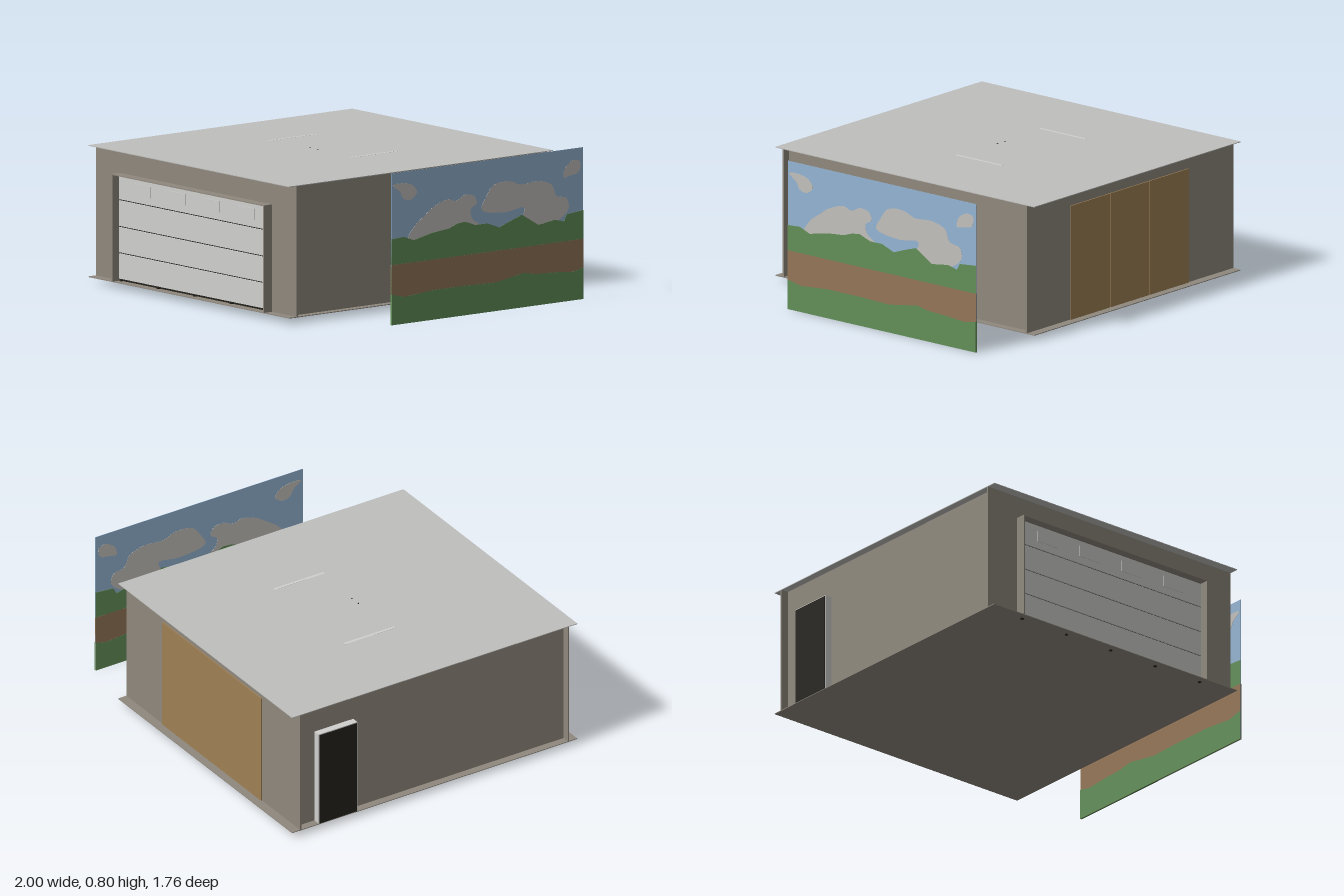
import * as THREE from 'three';

const mat = (name, color) => {
  const m = new THREE.MeshStandardMaterial({ color });
  m.name = name;
  return m;
};

export function createModel() {
  const root = new THREE.Group();
  root.name = 'garage';
  const wall = mat('wall brown', 0x8f887d);
  const roofGrey = mat('roof grey', 0xbfbfbd);
  const light = mat('door light grey', 0xd0d0ce);
  const dark = mat('dark trim', 0x24221c);
  const wood = mat('wood', 0xa08055);
  const sky = mat('sky blue', 0x94b4d3);
  const cloud = mat('cloud grey', 0xc2c0bc);
  const green = mat('grass green', 0x628f58);
  const path = mat('earth brown', 0x937556);

  // Box given by its low and high limits on each axis
  const box = (name, m, [x0, x1], [y0, y1], [z0, z1], parent = root) => {
    const mesh = new THREE.Mesh(new THREE.BoxGeometry(x1 - x0, y1 - y0, z1 - z0), m);
    mesh.position.set((x0 + x1) / 2, (y0 + y1) / 2, (z0 + z1) / 2);
    mesh.name = name;
    parent.add(mesh);
    return mesh;
  };
  const group = (name) => {
    const g = new THREE.Group();
    g.name = name;
    root.add(g);
    return g;
  };

  // Slabs and walls: end walls run the full width, side walls are set in
  box('floor', wall, [-1, 0.64], [0.03, 0.034], [-0.88, 0.88]);
  box('roof', roofGrey, [-1, 0.64], [0.718, 0.722], [-0.88, 0.88]);
  box('frontWall', wall, [-1, 0.64], [0.034, 0.718], [0.822, 0.83]);
  box('backWall', wall, [-1, 0.64], [0.034, 0.718], [-0.83, -0.822]);
  box('rightWall', wall, [-0.958, -0.95], [0.034, 0.718], [-0.822, 0.822]);
  box('leftWall', wall, [0.59, 0.598], [0.034, 0.718], [-0.822, 0.822]);

  // Faint strips and fixings on the roof
  for (const x of [-0.515, 0.15]) box('roofStrip', light, [x - 0.008, x + 0.008], [0.721, 0.7225], [-0.24, 0.07]);
  for (const x of [-0.21, -0.15]) box('roofFixing', dark, [x - 0.004, x + 0.004], [0.721, 0.7235], [0.042, 0.048]);

  // Sectional garage door inside a projecting frame
  const door = group('garageDoor');
  const dx = [-0.797, 0.432];
  box('frameSide', wall, [-0.804, -0.797], [0.034, 0.597], [0.83, 0.885], door);
  box('frameSide', wall, [0.432, 0.439], [0.034, 0.597], [0.83, 0.885], door);
  box('frameTop', wall, [-0.804, 0.439], [0.592, 0.597], [0.83, 0.885], door);
  box('seams', dark, dx, [0.034, 0.59], [0.83, 0.833], door);
  const levels = [0.042, 0.18, 0.318, 0.458, 0.592];
  for (let i = 0; i < 4; i++) {
    box('doorPanel', light, dx, [levels[i] + 0.003, levels[i + 1] - 0.003], [0.83, 0.84], door);
  }
  for (let i = 0; i < 4; i++) {
    const x = -0.605 + i * 0.282;
    box('doorWindow', light, [x - 0.068, x + 0.068], [0.5, 0.56], [0.84, 0.844], door);
  }
  for (let i = 0; i < 5; i++) {
    const x = -0.78 + i * 0.3;
    box('doorFoot', dark, [x - 0.008, x + 0.008], [0.024, 0.042], [0.834, 0.846], door);
  }

  // Three wooden panels on the back wall
  const back = group('backPanels');
  for (let i = 0; i < 3; i++) {
    const x = -0.64 + i * 0.312;
    box('woodPanel', wood, [x + 0.001, x + 0.311], [0.034, 0.645], [-0.836, -0.83], back);
  }

  // Side door: light frame box with a dark leaf
  const side = group('sideDoor');
  box('sideDoorFrame', light, [-0.997, -0.957], [0.034, 0.565], [-0.715, -0.475], side);
  box('sideDoorLeaf', dark, [-1, -0.997], [0.034, 0.56], [-0.71, -0.48], side);

  // Window with a projecting frame and middle bar
  const win = group('sideWindow');
  const wx = [0.598, 0.628];
  box('pane', cloud, [0.598, 0.606], [0.33, 0.58], [-0.32, 0.04], win);
  for (const z of [-0.33, -0.148, 0.032]) box('windowPost', light, wx, [0.32, 0.59], [z, z + 0.018], win);
  for (const y of [0.32, 0.572]) box('windowRail', light, wx, [y, y + 0.018], [-0.33, 0.05], win);

  // Landscape board: flat layers, each a little thicker so it shows on both faces
  const board = group('landscapeBoard');
  board.position.x = 0.995;
  board.rotation.y = Math.PI / 2;
  const layer = (name, m, pts, depth, smooth = false) => {
    const v = pts.map(([x, y]) => new THREE.Vector2(x, y));
    const outline = smooth
      ? new THREE.CatmullRomCurve3(v.map((p) => new THREE.Vector3(p.x, p.y, 0)), true)
          .getPoints(60).slice(0, -1).map((p) => new THREE.Vector2(p.x, p.y))
      : v;
    const geo = new THREE.ExtrudeGeometry(new THREE.Shape(outline), { depth, bevelEnabled: false });
    geo.translate(0, 0, -depth / 2);
    const mesh = new THREE.Mesh(geo, m);
    mesh.name = name;
    board.add(mesh);
  };
  const L = -0.49, R = 0.79;
  const strip = (top, y) => [[L, y], [R, y], ...top.slice().reverse()];
  layer('sky', sky, strip([[L, 0.795], [R, 0.795]], 0), 0.002);
  layer('cloud', cloud, [[-0.38, 0.43], [-0.34, 0.5], [-0.27, 0.55], [-0.21, 0.59], [-0.11, 0.62], [-0.06, 0.605],
    [0, 0.63], [0.06, 0.62], [0.08, 0.58], [0.04, 0.55], [0.05, 0.5], [0.12, 0.45], [0, 0.42]], 0.004, true);
  layer('cloud', cloud, [[0.11, 0.54], [0.14, 0.6], [0.19, 0.66], [0.3, 0.67], [0.37, 0.645], [0.49, 0.65],
    [0.58, 0.62], [0.61, 0.56], [0.68, 0.54], [0.69, 0.48], [0.6, 0.42], [0.49, 0.41], [0.38, 0.45],
    [0.4, 0.52], [0.27, 0.51]], 0.004, true);
  layer('cloud', cloud, [[-0.48, 0.73], [-0.42, 0.737], [-0.35, 0.72], [-0.32, 0.68], [-0.36, 0.645],
    [-0.41, 0.655], [-0.43, 0.69]], 0.004, true);
  layer('cloud', cloud, [[0.66, 0.65], [0.67, 0.7], [0.73, 0.735], [0.77, 0.72], [0.76, 0.67], [0.7, 0.655]], 0.004, true);
  const hills = [[L, 0.45], [-0.41, 0.455], [-0.34, 0.43], [-0.22, 0.455], [-0.11, 0.465], [-0.05, 0.485], [0, 0.49],
    [0.07, 0.465], [0.15, 0.465], [0.23, 0.435], [0.3, 0.46], [0.38, 0.485], [0.49, 0.42], [0.6, 0.435],
    [0.66, 0.42], [0.68, 0.455], [R, 0.465]];
  layer('hills', green, strip(hills, 0), 0.006);
  layer('earthBand', path, strip([[L, 0.315], [R, 0.315]], 0), 0.008);
  const grass = [[L, 0.16], [-0.4, 0.14], [-0.22, 0.155], [0, 0.155], [0.2, 0.15], [0.3, 0.165], [0.39, 0.18],
    [0.47, 0.165], [0.6, 0.16], [0.72, 0.15], [R, 0.165]];
  layer('grass', green, strip(grass, 0), 0.01);

  return root;
}
